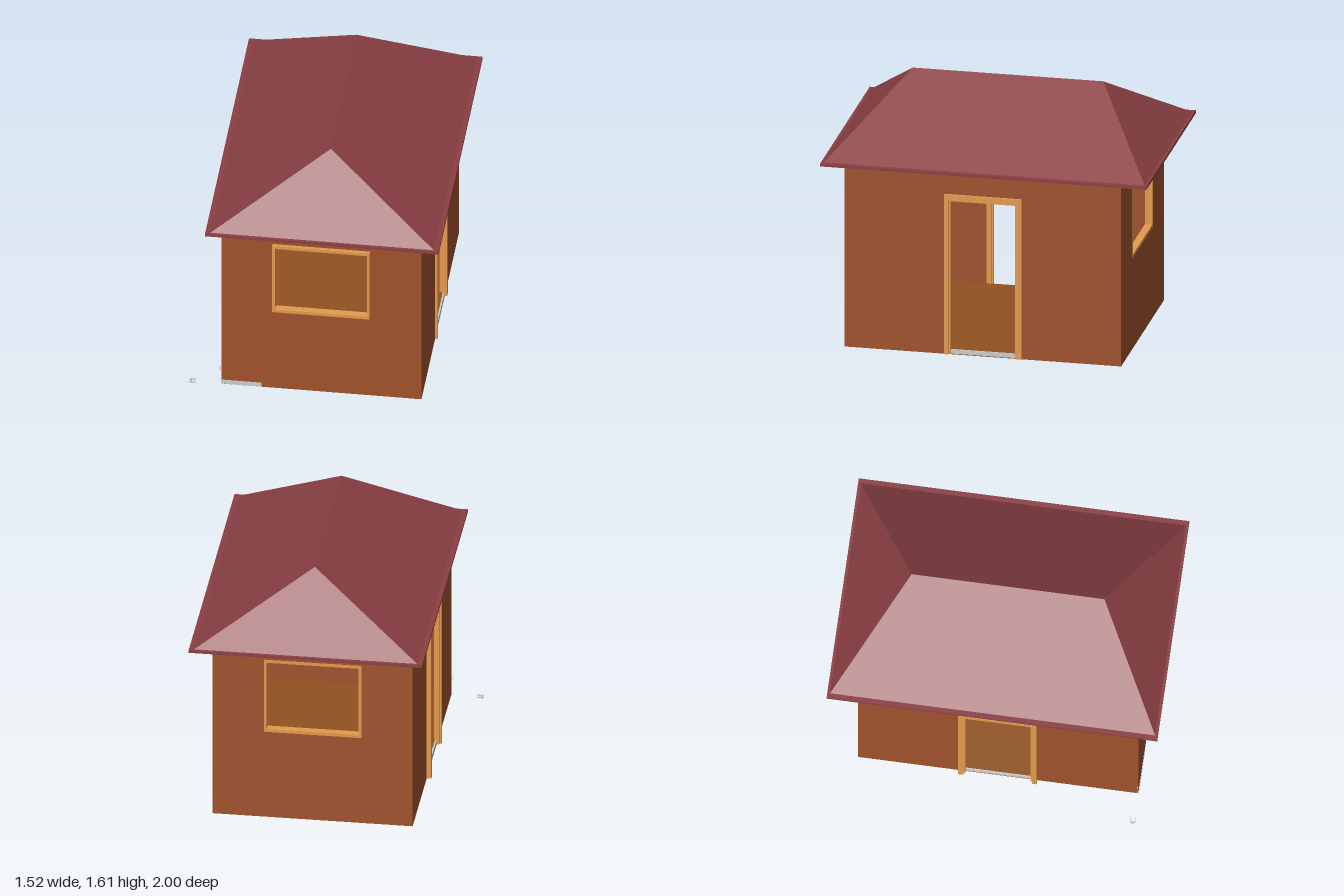
import * as THREE from 'three';
import { ConvexGeometry } from 'three/addons/geometries/ConvexGeometry.js';

const mat = (color) => new THREE.MeshStandardMaterial({ color });
const wallMat = mat(0xa0522d), roofMat = mat(0x8b4044), frameMat = mat(0xe39a4e);
const floorMat = mat(0x915220), greyMat = mat(0xcccccc);

// House extents
const X0 = -0.57, X1 = 0.64, Z0 = -0.82, Z1 = 0.875, Y0 = 0.015, Y1 = 1.19, T = 0.01;

const points = (list) => list.map(([x, y]) => new THREE.Vector2(x, y));
const rect = (x0, y0, x1, y1) => points([[x0, y0], [x1, y0], [x1, y1], [x0, y1]]);

// Outline with an arch-like notch open at the bottom, for doorways
const doorOutline = (u0, u1, top, d0, d1, doorTop) => points([
  [u0, Y0], [d0, Y0], [d0, doorTop], [d1, doorTop], [d1, Y0], [u1, Y0], [u1, top], [u0, top],
]);

function panel(name, material, outline, hole, depth) {
  const shape = new THREE.Shape(outline);
  if (hole) shape.holes.push(new THREE.Path(hole));
  const mesh = new THREE.Mesh(
    new THREE.ExtrudeGeometry(shape, { depth, bevelEnabled: false }), material);
  mesh.name = name;
  return mesh;
}

function box(name, material, x0, x1, y0, y1, z0, z1) {
  const mesh = new THREE.Mesh(new THREE.BoxGeometry(x1 - x0, y1 - y0, z1 - z0), material);
  mesh.position.set((x0 + x1) / 2, (y0 + y1) / 2, (z0 + z1) / 2);
  mesh.name = name;
  return mesh;
}

export function createModel() {
  const house = new THREE.Group();
  house.name = 'house';

  // Front and back walls, each with a framed window
  for (const [side, wallZ, frameZ] of [['front', Z1 - T, 0.852], ['back', Z0, Z0]]) {
    const wall = panel(side + 'Wall', wallMat, rect(X0 + T, Y0, X1 - T, Y1),
      rect(-0.255, 0.595, 0.325, 1.075), T);
    wall.position.z = wallZ;
    const frame = panel(side + 'WindowFrame', frameMat, rect(-0.26, 0.59, 0.33, 1.08),
      rect(-0.243, 0.61, 0.313, 1.06), 0.045);
    frame.position.z = side === 'back' ? frameZ - 0.001 : frameZ;
    house.add(wall, frame);
  }

  // Side walls, each with a framed doorway; drawn along z and turned into place
  for (const [side, wallX, frameX] of [['left', X1, 0.655], ['right', X0 + T, -0.553]]) {
    const wall = panel(side + 'Wall', wallMat,
      doorOutline(Z0, Z1, Y1, -0.2, 0.25, 1.015), null, T);
    const frame = panel(side + 'DoorFrame', frameMat,
      doorOutline(-0.212, 0.263, 1.03, -0.18, 0.235, 1.0), null, 0.045);
    const lip = panel(side + 'DoorStop', frameMat,
      doorOutline(-0.18, 0.235, 1.0, -0.17, 0.224, 0.986), null, 0.02);
    wall.position.x = wallX;
    frame.position.x = frameX;
    lip.position.x = frameX - 0.012;
    for (const part of [wall, frame, lip]) part.rotation.y = -Math.PI / 2;
    house.add(wall, frame, lip);
  }

  // Floor: grey slab between a wooden top and a wooden underside
  const e = T + 0.001;
  house.add(
    box('floorSlab', greyMat, X0 + 0.001, X1 - 0.001, Y0 + 0.002, 0.043, -0.169, 0.223),
    box('floorCore', greyMat, X0 + e, X1 - e, Y0 + 0.002, 0.043, Z0 + e, Z1 - e),
    box('floorTop', floorMat, X0 + e, X1 - e, 0.043, 0.045, Z0 + e, Z1 - e),
    box('floorUnderside', floorMat, X0, X1, Y0 - 0.002, Y0, Z0, Z1),
    box('frontPlinth', greyMat, X0, -0.327, Y0, 0.043, Z1 - T, Z1 + 0.002));

  // Hipped roof on a thin eaves slab
  const hip = new THREE.Mesh(new ConvexGeometry([
    [-0.625, 1.205, -0.985], [0.733, 1.205, -0.985], [-0.625, 1.205, 0.985],
    [0.733, 1.205, 0.985], [0.054, 1.605, -0.583], [0.054, 1.605, 0.583],
  ].map((p) => new THREE.Vector3(...p))), roofMat);
  hip.name = 'hippedRoof';
  house.add(box('eaves', roofMat, -0.652, 0.76, Y1, 1.207, -1, 1), hip);

  // Small loose fittings beside the front corner
  const fitting = new THREE.Group();
  fitting.name = 'groundFitting';
  fitting.add(
    box('fittingBack', greyMat, -0.762, -0.754, 0.004, 0.02, 0.852, 0.88),
    box('fittingArmRear', greyMat, -0.76, -0.726, 0.01, 0.018, 0.85, 0.855),
    box('fittingArmFront', greyMat, -0.76, -0.726, 0.01, 0.018, 0.877, 0.882),
    box('fittingStem', greyMat, -0.757, -0.749, 0, 0.012, 0.862, 0.87));
  house.add(fitting, box('wallPin', greyMat, -0.58, -0.576, 0.11, 0.142, 0.868, 0.874));

  return house;
}
